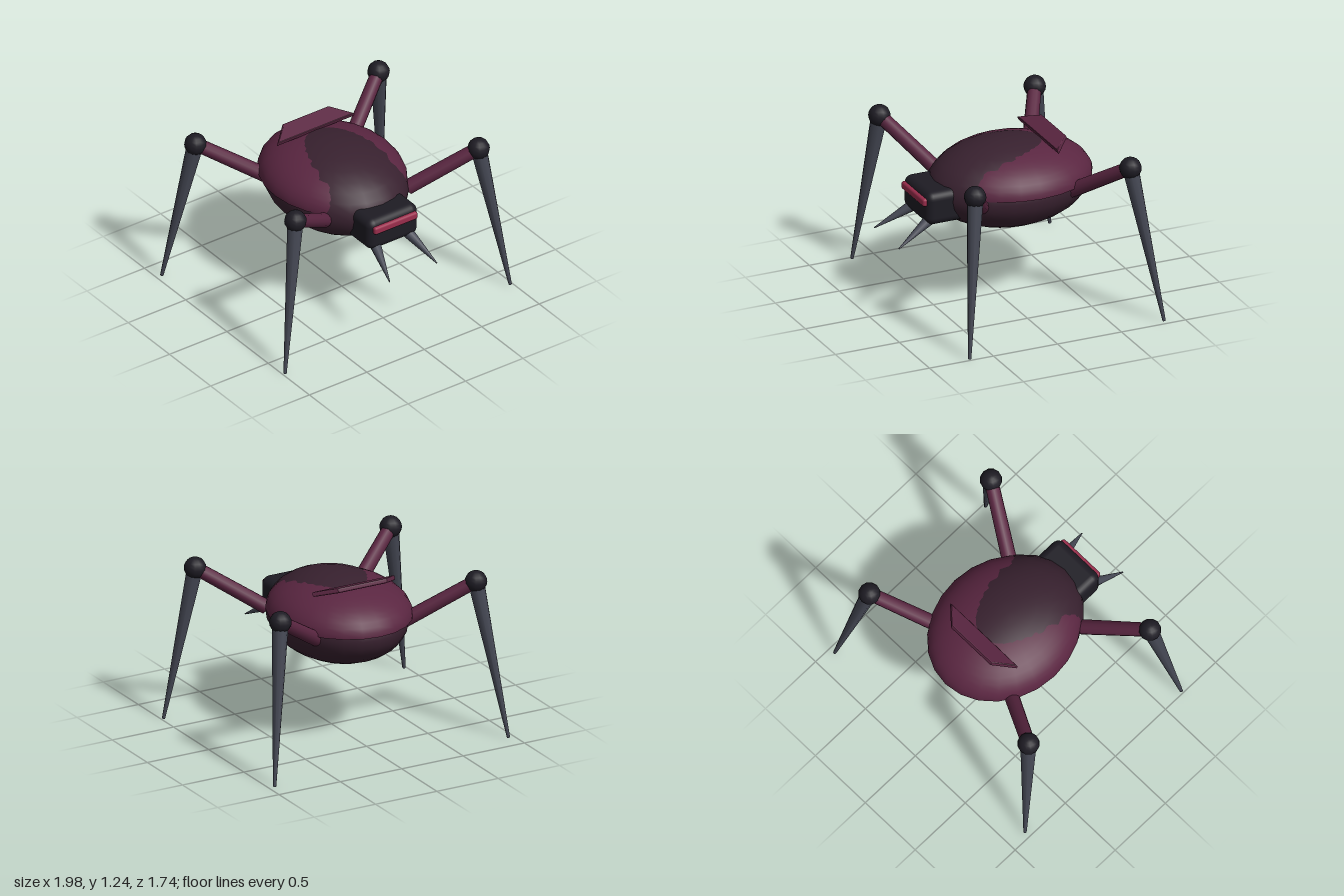
import * as THREE from 'three';
import { RoundedBoxGeometry } from 'three/addons/geometries/RoundedBoxGeometry.js';

const paint = (color, side = THREE.FrontSide) => new THREE.MeshStandardMaterial({ color, side });
const V = (x, y, z) => new THREE.Vector3(x, y, z);

export function createModel() {
  const model = new THREE.Group();
  const dark = paint(0x38212f);
  const plum = paint(0x5a2641);
  const shellPaint = paint(0x5a2641, THREE.DoubleSide);
  const black = paint(0x1e1c24);
  const steel = paint(0x454854);
  const red = paint(0x9a2d4c);

  function add(name, geometry, material, position, parent = model) {
    const mesh = new THREE.Mesh(geometry, material);
    mesh.name = name;
    mesh.position.copy(position);
    parent.add(mesh);
    return mesh;
  }

  // Tapered rod from point a (radius ra) to point b (radius rb)
  function rod(name, a, b, ra, rb, sides, material, parent) {
    const dir = b.clone().sub(a);
    const mesh = add(name, new THREE.CylinderGeometry(rb, ra, dir.length(), sides), material,
      a.clone().add(b).multiplyScalar(0.5), parent);
    mesh.quaternion.setFromUnitVectors(V(0, 1, 0), dir.normalize());
    return mesh;
  }

  // Body and the shell covering its rear upper half
  add('body', new THREE.SphereGeometry(1, 24, 16), dark, V(0, 0.867, -0.08)).scale.set(0.475, 0.312, 0.6);
  add('shell', new THREE.SphereGeometry(1, 24, 12, 0, Math.PI * 2, 0, Math.PI / 2), shellPaint,
    V(0, 0.9, -0.112)).scale.set(0.503, 0.269, 0.588);

  // Head with its visor
  add('head', new RoundedBoxGeometry(0.435, 0.25, 0.33, 4, 0.06), black, V(0, 0.831, 0.48));
  add('visor', new RoundedBoxGeometry(0.375, 0.06, 0.06, 3, 0.018), red, V(0, 0.884, 0.637));

  // Tilted trapezoid fin on the back
  const outline = new THREE.Shape([
    new THREE.Vector2(-0.322, -0.06), new THREE.Vector2(0.322, -0.06),
    new THREE.Vector2(0.195, 0.06), new THREE.Vector2(-0.195, 0.06),
  ]);
  const finGeometry = new THREE.ExtrudeGeometry(outline, {
    depth: 0.015, bevelEnabled: true, bevelThickness: 0.01, bevelSize: 0.01, bevelSegments: 2,
  });
  finGeometry.translate(0, 0, -0.0075);
  add('fin', finGeometry, plum, V(0, 1.178, -0.378)).rotation.x = THREE.MathUtils.degToRad(-70);

  // Legs: hip point, knee joint and foot for the front and rear pair
  const legs = [
    { name: 'front', hip: [0.36, 0.858, 0.295], knee: [0.797, 1.156, 0.548], foot: [0.98, 0.003, 0.677] },
    { name: 'rear', hip: [0.36, 0.858, -0.41], knee: [0.797, 1.156, -0.665], foot: [0.953, 0.003, -0.855] },
  ];
  for (const side of [1, -1]) {
    const label = side > 0 ? 'Left' : 'Right';
    const at = ([x, y, z]) => V(x * side, y, z);
    for (const leg of legs) {
      const group = new THREE.Group();
      group.name = leg.name + label + 'Leg';
      model.add(group);
      rod('upperLeg', at(leg.hip), at(leg.knee), 0.054, 0.05, 12, plum, group);
      add('knee', new THREE.SphereGeometry(0.08, 12, 10), black, at(leg.knee), group);
      rod('lowerLeg', at(leg.knee), at(leg.foot), 0.06, 0.012, 10, steel, group);
    }
    // Fangs below the head
    rod('fang' + label, at([0.14, 0.73, 0.6]), at([0.206, 0.58, 0.867]), 0.042, 0.004, 10, steel, model);
  }
  return model;
}
